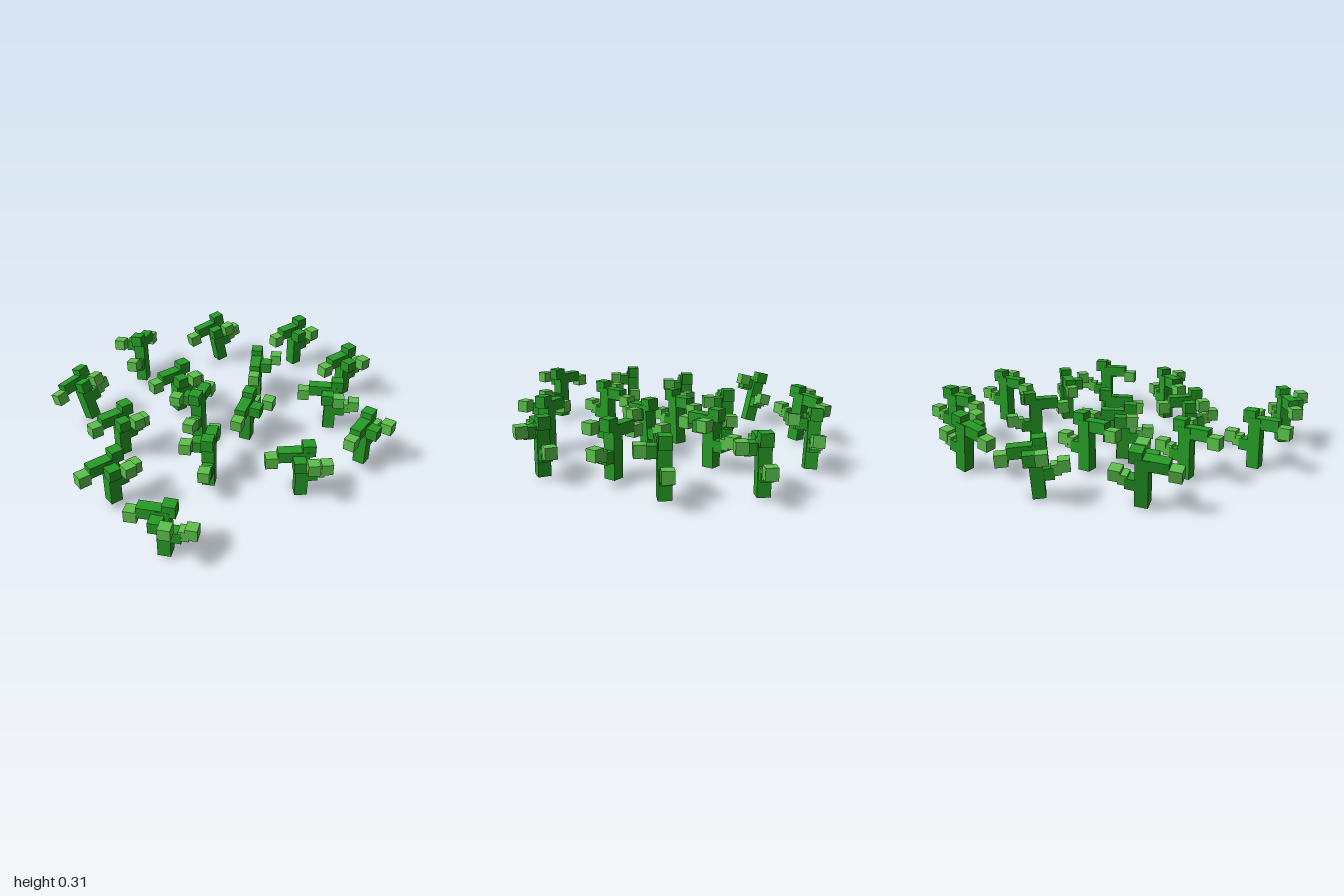
import * as THREE from 'three';

const dark = new THREE.MeshStandardMaterial({ color: 0x269c26, flatShading: true });
const light = new THREE.MeshStandardMaterial({ color: 0x5cc24c, flatShading: true });

// name, material, size, centre (long arms run along x, short arm along +z)
const parts = [
  ['trunk', dark, [0.06, 0.25, 0.06], [0.014, 0.125, 0]],
  ['crown', dark, [0.06, 0.06, 0.058], [0.042, 0.255, 0]],
  ['highArm', dark, [0.12, 0.056, 0.054], [-0.042, 0.225, 0]],
  ['highArmTip', light, [0.058, 0.058, 0.056], [-0.13, 0.195, 0]],
  ['lowArm', dark, [0.06, 0.056, 0.054], [0.06, 0.11, 0]],
  ['lowArmJoint', light, [0.045, 0.052, 0.052], [0.1, 0.125, 0]],
  ['lowArmTip', light, [0.055, 0.057, 0.056], [0.135, 0.14, 0]],
  ['shortArm', dark, [0.06, 0.056, 0.058], [-0.006, 0.205, 0.055]],
  ['shortArmTip', light, [0.056, 0.056, 0.056], [0.048, 0.225, 0.104]],
].map(([name, material, size, pos]) => ({
  name, material, pos, geometry: new THREE.BoxGeometry(...size),
}));

// x, z, heading in degrees, lean about the long arms, lean about the short arm, base height
const plants = [
  [0.045, 0.87, 8], [-0.315, 0.65, 57], [-0.435, 0.3, 57], [-0.315, -0.16, 57],
  [0.07, 0.355, -80], [0.49, 0.295, 24], [0.495, -0.285, 13], [0.728, -0.035, 75],
  [0.495, -0.625, 57], [0.15, -0.855, 57], [0.055, -0.425, 102],
  [0.12, -0.045, 89, 0.03, 0.06, 0.008], [-0.12, -0.01, -91, 0, -0.05, 0.008],
  [-0.622, -0.395, -87, 0.06, 0.08], [-0.285, -0.75, 51, -0.08, 0.17],
  [-0.725, 0.08, 69, -0.27, 0.08],
];

function makeCactus() {
  const cactus = new THREE.Group();
  for (const p of parts) {
    const mesh = new THREE.Mesh(p.geometry, p.material);
    mesh.name = p.name;
    mesh.position.set(...p.pos);
    cactus.add(mesh);
  }
  return cactus;
}

export function createModel() {
  const model = new THREE.Group();
  model.name = 'cactusField';
  plants.forEach(([x, z, heading, leanX = 0, leanZ = 0, base = 0.02], i) => {
    const cactus = makeCactus();
    cactus.name = `cactus${i + 1}`;
    cactus.position.set(x, base, z);
    cactus.rotation.set(leanX, THREE.MathUtils.degToRad(heading), leanZ, 'YXZ');
    model.add(cactus);
  });
  return model;
}
